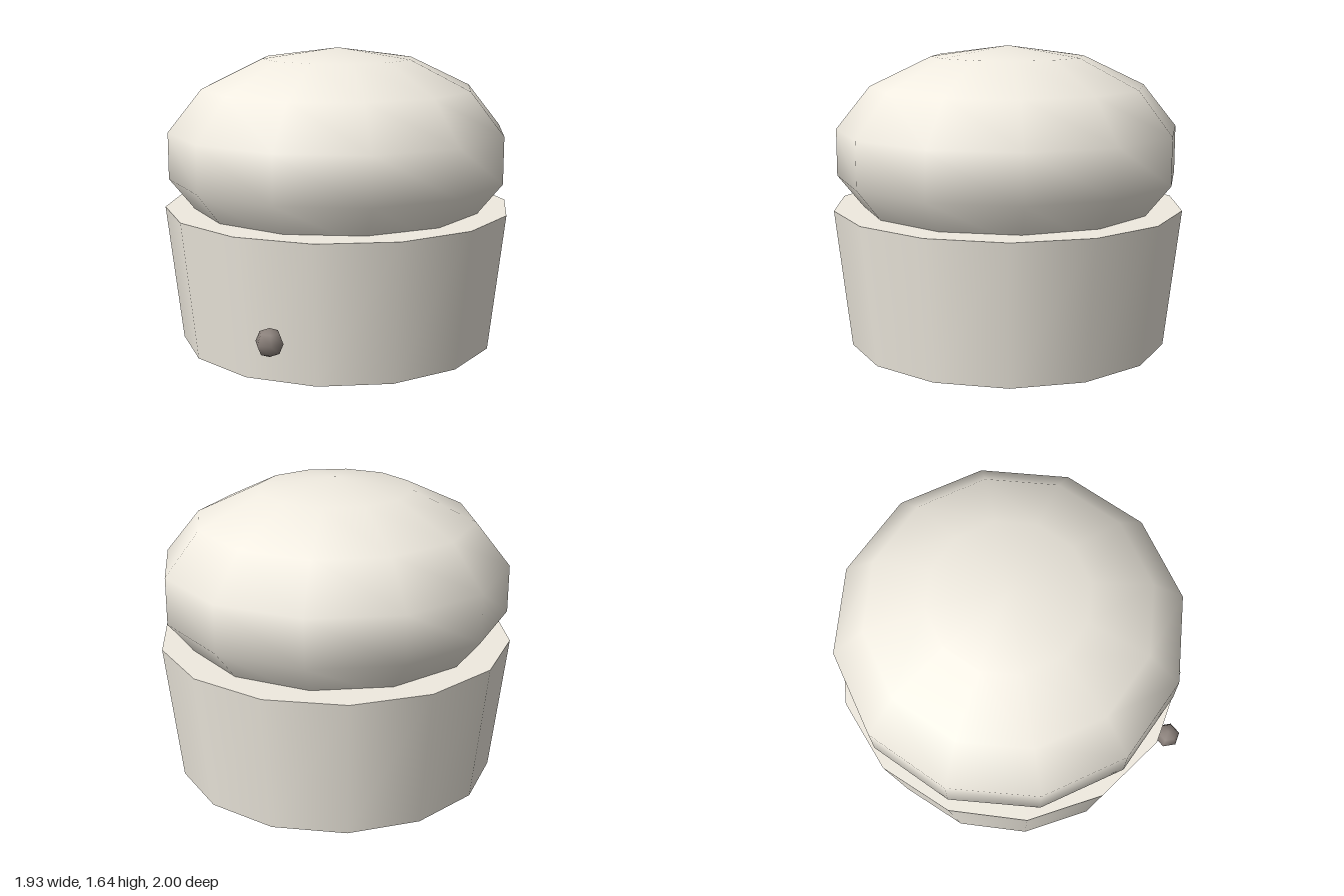
import * as THREE from 'three';

const CENTRE_Z = -0.06;

function addPart(group, name, geometry, color, x, y, z) {
  const mesh = new THREE.Mesh(geometry, new THREE.MeshStandardMaterial({ color }));
  mesh.name = name;
  mesh.position.set(x, y, z);
  group.add(mesh);
  return mesh;
}

export function createModel() {
  const group = new THREE.Group();
  group.name = 'domedCup';
  const cream = 0xf0ebe0;

  // Tapered 14-sided cup, with a corner pointing to each side
  const cup = new THREE.CylinderGeometry(0.965, 0.88, 0.76, 14);
  cup.rotateY(Math.PI / 2);
  addPart(group, 'cup', cup, cream, 0, 0.38, CENTRE_Z);

  // Flattened dome sunk into the cup
  const dome = new THREE.SphereGeometry(0.965, 12, 7);
  dome.scale(1, 0.6, 1);
  addPart(group, 'dome', dome, cream, 0, 1.058, CENTRE_Z);

  // Small dark knob in front of the cup
  addPart(group, 'knob', new THREE.SphereGeometry(0.075, 6, 4), 0x8a807a, 0, 0.255, 0.935);

  return group;
}
